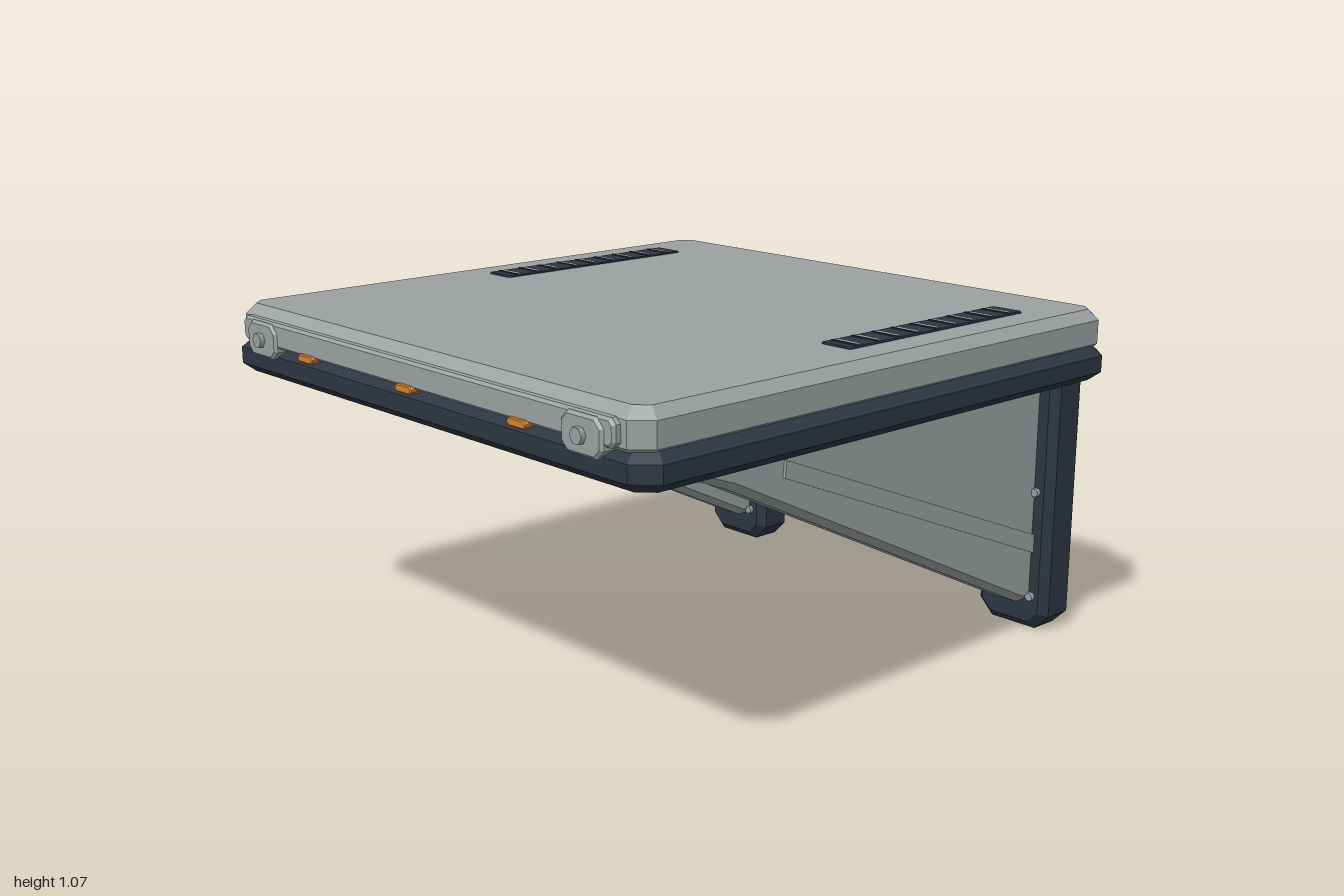
import * as THREE from 'three';

const mat = (name, color) => {
  const m = new THREE.MeshStandardMaterial({ color });
  m.name = name;
  return m;
};

// Rectangle with cut corners
function cutRect(w, h, c) {
  const x = w / 2, y = h / 2;
  return new THREE.Shape([
    [x - c, -y], [x, c - y], [x, y - c], [x - c, y],
    [c - x, y], [-x, y - c], [-x, c - y], [c - x, -y],
  ].map(([a, b]) => new THREE.Vector2(a, b)));
}

// Extrusion along z with chamfered rims, centred on z
function chamfered(shape, depth, bevel, rise = bevel) {
  const g = new THREE.ExtrudeGeometry(shape, {
    depth: depth - 2 * rise, bevelEnabled: bevel > 0, bevelSegments: 1,
    bevelSize: bevel, bevelThickness: rise, bevelOffset: -bevel,
  });
  return g.translate(0, 0, rise - depth / 2);
}

// Side profile given as [z, y] points, extruded along x and centred there
function sidePlate(points, width, bevel) {
  const shape = new THREE.Shape(points.map(([z, y]) => new THREE.Vector2(z, y)));
  return chamfered(shape, width, bevel).rotateY(-Math.PI / 2);
}

export function createModel() {
  const model = new THREE.Group();
  model.name = 'wallTable';
  const grey = mat('light grey', 0x9ca1a2);
  const navy = mat('dark navy', 0x2d3642);
  const orange = mat('orange', 0xd9822b);

  const add = (name, geo, material, x, y, z, parent = model) => {
    const m = new THREE.Mesh(geo, material);
    m.name = name;
    m.position.set(x, y, z);
    parent.add(m);
    return m;
  };
  const hexHead = (r, d) => new THREE.CylinderGeometry(r, r, d, 6).rotateX(Math.PI / 2).rotateZ(Math.PI / 6);

  // Table top: dark tray with a grey panel set into it
  add('tray', chamfered(cutRect(1.87, 1.845, 0.06), 0.105, 0.035, 0.028).rotateX(-Math.PI / 2), navy, 0, 0.905, 0.045);
  add('panel', chamfered(cutRect(1.82, 1.83, 0.05), 0.13, 0.03).rotateX(-Math.PI / 2), grey, 0, 0.995, 0.04);

  // Front trim with orange markers
  add('frontTrim', chamfered(cutRect(1.68, 0.075, 0.015), 0.05, 0.008), grey, 0, 0.995, 0.952);
  for (const x of [-0.485, 0, 0.485]) {
    add('marker', chamfered(cutRect(0.075, 0.022, 0.008), 0.035, 0.003), orange, x, 0.957, 0.972);
  }

  for (const s of [-1, 1]) {
    const side = new THREE.Group();
    side.name = s > 0 ? 'leftSide' : 'rightSide';
    model.add(side);
    const cx = s * 0.6235;

    // Bolted tab at the end of the front trim
    add('trimTab', chamfered(cutRect(0.155, 0.105, 0.025), 0.05, 0.008), grey, s * 0.728, 0.975, 0.96, side);
    add('tabBolt', hexHead(0.023, 0.02), grey, s * 0.728, 0.975, 0.99, side);

    // Upright at the back
    add('leg', chamfered(cutRect(0.267, 0.955, 0.05), 0.145, 0.025), navy, cx, 0.4775, -0.9275, side);

    // Triangular gusset and its outer rib
    add('gusset', sidePlate([
      [0.9, 0.905], [-0.93, 0.905], [-0.93, 0.095], [-0.82, 0.095], [0.45, 0.72],
    ], 0.145, 0.022), grey, cx, 0, 0, side);
    add('gussetRib', sidePlate([
      [0.26, 0.77], [-0.87, 0.31], [-0.87, 0.25], [0.265, 0.72],
    ], 0.02, 0), grey, s * 0.695, 0, 0, side);

    // Leg bolts either side of the gusset
    for (const y of [0.113, 0.455, 0.817]) {
      for (const x of [0.545, 0.706]) add('legBolt', hexHead(0.014, 0.03), grey, s * x, y, -0.855, side);
    }

    // Louvred vent on the panel
    const vx = s * 0.732;
    add('vent', chamfered(cutRect(0.108, 0.74, 0.008), 0.01, 0.003).rotateX(-Math.PI / 2), navy, vx, 1.06, -0.257, side);
    for (let i = 0; i < 9; i++) {
      const z = -0.578 + i * 0.08;
      add('ventSlat', new THREE.BoxGeometry(0.085, 0.006, 0.018), grey, vx, 1.064, z, side);
      add('ventLip', new THREE.BoxGeometry(0.09, 0.008, 0.008), navy, vx, 1.064, z + 0.014, side);
    }
  }
  return model;
}
